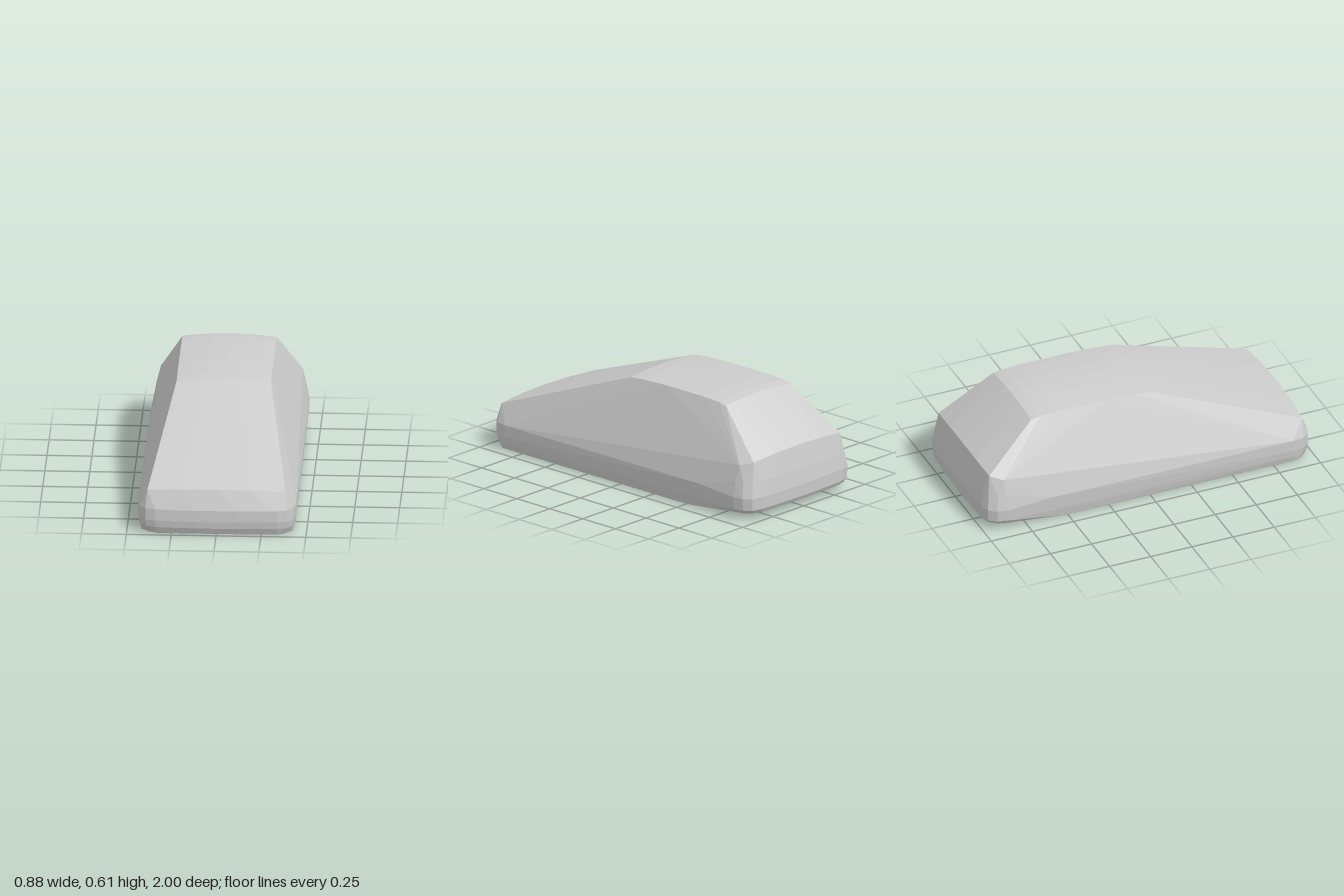
import * as THREE from 'three';
import { ConvexGeometry } from 'three/addons/geometries/ConvexGeometry.js';

export function createModel() {
  const group = new THREE.Group();
  const grey = new THREE.MeshStandardMaterial({ color: 0xcccccc });
  grey.name = 'light grey';
  const points = [];
  // Adds a point and its mirror image across x = 0
  const pair = (x, y, z) => {
    points.push(new THREE.Vector3(x, y, z));
    if (x) points.push(new THREE.Vector3(-x, y, z));
  };

  // Front bumper: rounded outline at each height [y, half width, front z]
  for (const [y, w, z] of [[0.004, 0.425, 0.98], [0.04, 0.435, 0.995], [0.08, 0.44, 1], [0.145, 0.44, 0.997]]) {
    pair(w, y, 0.86);
    pair(w - 0.012, y, z - 0.07);
    pair(w - 0.045, y, z - 0.03);
    pair(w - 0.1, y, z - 0.013);
    pair(0.27, y, z - 0.008);
    pair(0.11, y, z);
  }
  // Bonnet edge
  pair(0.385, 0.246, 0.938);
  pair(0.2, 0.254, 0.952);
  pair(0, 0.257, 0.957);

  // Rear bumper
  for (const [y, w, z] of [[0.038, 0.415, -0.985], [0.06, 0.43, -0.997], [0.13, 0.435, -1], [0.22, 0.418, -0.988]]) {
    pair(w, y, -0.87);
    pair(w - 0.012, y, z + 0.07);
    pair(w - 0.045, y, z + 0.028);
    pair(w - 0.1, y, z + 0.012);
    pair(0.22, y, z + 0.005);
    pair(0, y, z);
  }
  // Rear window sill and shoulders
  pair(0.395, 0.31, -0.88);
  pair(0.352, 0.33, -0.948);
  pair(0.18, 0.346, -0.957);
  pair(0, 0.351, -0.96);

  // Floor and straight sills
  pair(0.42, 0, 0.9);
  pair(0.34, 0, 0.965);
  pair(0.42, 0, -0.5);
  pair(0.438, 0.15, -0.6);

  // Domed roof: [z, edge height, centre height]
  for (const [z, edge, mid] of [[0.07, 0.572, 0.588], [-0.02, 0.58, 0.597], [-0.2, 0.588, 0.606],
    [-0.49, 0.588, 0.606], [-0.6, 0.584, 0.601], [-0.655, 0.574, 0.592]]) {
    for (const x of [0, 0.1, 0.2, 0.263]) pair(x, mid - (mid - edge) * (x / 0.263) ** 2, z);
  }

  const body = new THREE.Mesh(new ConvexGeometry(points), grey);
  body.name = 'carBody';
  group.add(body);
  return group;
}
